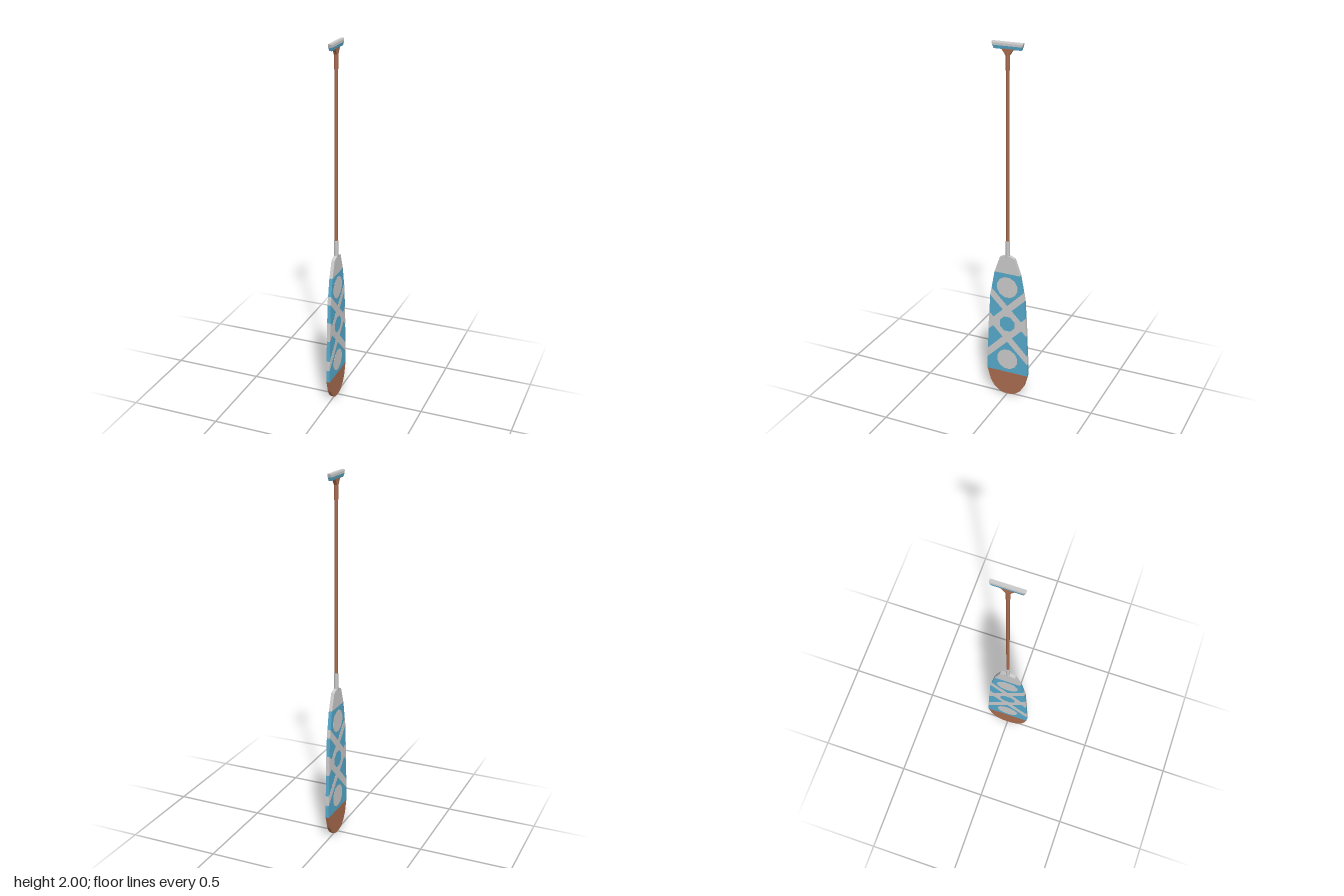
import * as THREE from 'three';

const mat = (name, color) => {
  const m = new THREE.MeshStandardMaterial({ color });
  m.name = name;
  return m;
};

export function createModel() {
  const grey = mat('palePaint', 0xcbcbcb);
  const blue = mat('bluePaint', 0x57aacc);
  const brown = mat('wood', 0xaa6c4f);
  const model = new THREE.Group();
  model.name = 'paddle';

  const T = 0.0093; // half thickness of the blade
  const add = (name, geo, material) => {
    const mesh = new THREE.Mesh(geo, material);
    mesh.name = name;
    model.add(mesh);
  };

  // Flat piece drawn in the z/y plane and extruded along x
  const plate = (name, pts, material, half = T) => {
    const geo = new THREE.ExtrudeGeometry(
      new THREE.Shape(pts.map(([z, y]) => new THREE.Vector2(z, y))),
      { depth: half * 2, bevelEnabled: false });
    geo.translate(0, 0, -half).rotateY(Math.PI / 2);
    add(name, geo, material);
  };
  const mirrored = (rows) => [
    ...rows.map(([y, w]) => [w, y]),
    ...rows.map(([y, w]) => [-w, y]).reverse()];
  const ngon = (y, r, n) => Array.from({ length: n }, (_, i) => {
    const a = (i + 0.5) / n * Math.PI * 2;
    return [Math.cos(a) * r, y + Math.sin(a) * r];
  });

  // Blade outline: height and half width
  const rows = [[0, 0.022], [0.01, 0.05], [0.035, 0.08], [0.07, 0.101], [0.14, 0.121],
    [0.2, 0.121], [0.4, 0.113], [0.6, 0.102], [0.75, 0.075], [0.842, 0.043], [0.855, 0.012]];
  const width = (y) => {
    const i = rows.findIndex((r) => r[0] >= y);
    if (i < 1) return rows[0][1];
    const [a, b] = [rows[i - 1], rows[i]];
    return THREE.MathUtils.lerp(a[1], b[1], (y - a[0]) / (b[0] - a[0]));
  };
  const band = (lo, hi) => mirrored(rows.filter((r) => r[0] >= lo && r[0] <= hi));
  plate('bladeTip', band(0, 0.14), brown);
  plate('bladeBody', band(0.14, 0.75), blue);
  plate('bladeShoulder', band(0.75, 1), grey);

  // Painted lattice, wrapping over the blade edges
  const P = T + 0.0006;
  const edge = (side, y) => [side * (width(y) + 0.0006), y];
  for (const s of [1, -1]) {
    plate('upperCrossStripe',
      [edge(s, 0.605), edge(s, 0.65), edge(-s, 0.445), edge(-s, 0.39)], grey, P);
    plate('lowerCrossStripe',
      [edge(s, 0.445), edge(s, 0.5), edge(-s, 0.268), edge(-s, 0.213)], grey, P);
  }
  plate('centreDiamond', [[0.075, 0.445], [0, 0.52], [-0.075, 0.445], [0, 0.37]], grey, P);
  plate('centreSpot', ngon(0.445, 0.047, 8), blue, P + 0.0005);
  for (const y of [0.668, 0.222]) plate('roundSpot', ngon(y, 0.062, 12), grey, P);

  // Shaft with its collars
  const rod = (name, y0, y1, r, material) => add(name,
    new THREE.CylinderGeometry(r, r, y1 - y0, 8).rotateY(Math.PI / 8)
      .translate(0, (y0 + y1) / 2, 0), material);
  rod('bladeCollar', 0.84, 0.94, 0.0115, grey);
  rod('shaft', 0.93, 1.88, 0.0088, brown);
  rod('neck', 1.86, 1.95, 0.0115, brown);
  plate('neckFlare',
    mirrored([[1.935, 0.011], [1.95, 0.02], [1.967, 0.033]]), brown, 0.0085);

  // Crossbar grip made of tapered blocks: [y, half x, half z] at each end
  const block = (name, lo, hi, material) => {
    const geo = new THREE.BoxGeometry(2, 1, 2);
    const p = geo.attributes.position;
    for (let i = 0; i < p.count; i++) {
      const [y, hx, hz] = p.getY(i) < 0 ? lo : hi;
      p.setXYZ(i, p.getX(i) * hx, y, p.getZ(i) * hz);
    }
    geo.computeVertexNormals();
    add(name, geo, material);
  };
  block('gripUnderside', [1.964, 0.007, 0.074], [1.981, 0.0097, 0.08], blue);
  block('gripSide', [1.981, 0.0097, 0.08], [1.993, 0.0097, 0.084], grey);
  block('gripTop', [1.993, 0.0097, 0.084], [2, 0.007, 0.0855], grey);
  return model;
}
